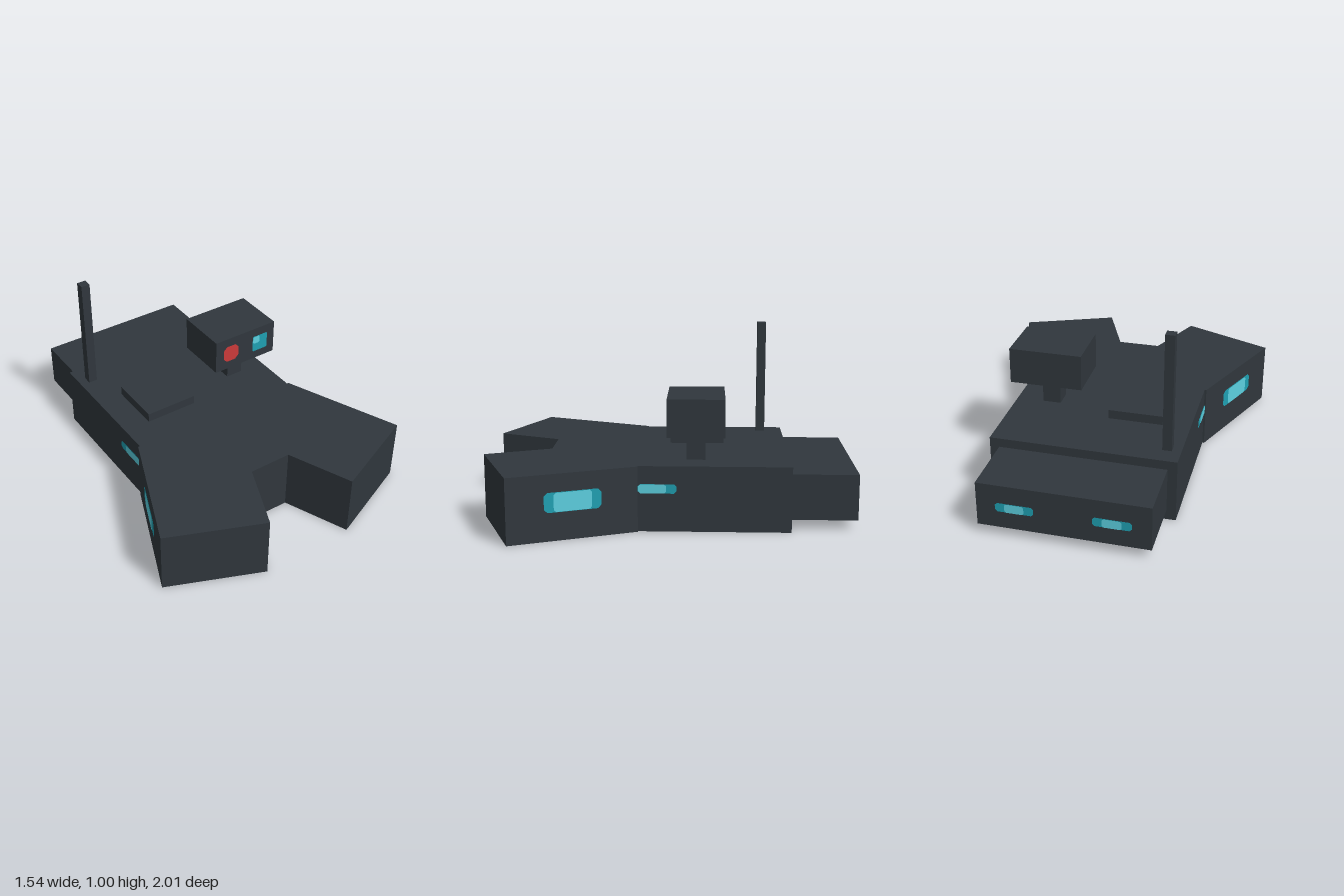
import * as THREE from 'three';

const mat = (name, color) => {
  const m = new THREE.MeshStandardMaterial({ color });
  m.name = name;
  return m;
};

export function createModel() {
  const model = new THREE.Group();
  const hullMat = mat('dark slate', 0x30373d);
  const tealMat = mat('deep teal', 0x1fa0b2);
  const cyanMat = mat('bright cyan', 0x5cd0e0);
  const redMat = mat('red', 0xcc3a3a);

  const add = (name, geometry, material) => {
    const mesh = new THREE.Mesh(geometry, material);
    mesh.name = name;
    model.add(mesh);
    return mesh;
  };
  // Box given by its limits on each axis
  const box = (name, [x0, x1], [y0, y1], [z0, z1]) =>
    add(name, new THREE.BoxGeometry(x1 - x0, y1 - y0, z1 - z0), hullMat)
      .position.set((x0 + x1) / 2, (y0 + y1) / 2, (z0 + z1) / 2);

  // Flat panel with cut corners, turned to face the given heading, lifted off the surface
  const panel = (name, material, w, h, cut, [x, y, z], heading, lift = 0.003) => {
    const a = w / 2, b = h / 2;
    const pts = [[a - cut, -b], [a, -b + cut], [a, b - cut], [a - cut, b],
      [-a + cut, b], [-a, b - cut], [-a, -b + cut], [-a + cut, -b]];
    const shape = new THREE.Shape(pts.map(p => new THREE.Vector2(...p)));
    const mesh = add(name, new THREE.ShapeGeometry(shape), material);
    mesh.position.set(x + Math.sin(heading) * lift, y, z + Math.cos(heading) * lift);
    mesh.rotation.y = heading;
  };

  // Hull with two splayed front prongs
  const half = [[0.5, -0.65], [0.5, 0.15], [0.51, 0.15], [0.77, 0.79], [0.265, 1], [0.12, 0.65]];
  const outline = [...half, ...half.map(([x, z]) => [-x, z]).reverse()];
  const hull = new THREE.ExtrudeGeometry(
    new THREE.Shape(outline.map(p => new THREE.Vector2(...p))), { depth: 0.35, bevelEnabled: false });
  hull.rotateX(Math.PI / 2).translate(0, 0.35, 0);
  add('hull', hull, hullMat);

  // Rear block and deck fittings
  box('rearBlock', [-0.45, 0.45], [0.055, 0.3], [-1, -0.65]);
  box('hatch', [-0.35, -0.05], [0.35, 0.4], [-0.3, 0]);
  box('antenna', [-0.45, -0.4], [0.35, 1], [-0.55, -0.5]);
  box('neck', [0.25, 0.35], [0.35, 0.5], [-0.2, -0.1]);
  box('head', [0.1, 0.5], [0.5, 0.7], [-0.3, 0]);

  // Eyes
  panel('redEye', redMat, 0.1, 0.1, 0.022, [0.2, 0.6, 0], 0);
  panel('cyanEye', tealMat, 0.1, 0.1, 0.006, [0.4, 0.6, 0], 0);
  panel('eyeGlint', cyanMat, 0.045, 0.045, 0.008, [0.3735, 0.6265, 0], 0, 0.006);

  // Running lights, mirrored left and right
  const splay = Math.atan2(0.64, -0.26);
  for (const s of [1, -1]) {
    const prong = [s * 0.64, 0.203, 0.47];
    panel('prongLight', tealMat, 0.3, 0.105, 0.018, prong, s * splay);
    panel('prongLightCentre', cyanMat, 0.2, 0.1, 0.012, prong, s * splay, 0.006);

    const side = s * Math.PI / 2;
    panel('sideLight', tealMat, 0.2, 0.05, 0.012, [s * 0.5, 0.23, 0.05], side);
    panel('sideLightCentre', cyanMat, 0.145, 0.048, 0.01, [s * 0.5, 0.23, 0.075], side, 0.006);

    const rear = [s * 0.25, 0.175, -1];
    panel('rearLight', tealMat, 0.2, 0.05, 0.012, rear, Math.PI);
    panel('rearLightCentre', cyanMat, 0.1, 0.048, 0.008, rear, Math.PI, 0.006);
  }
  return model;
}
